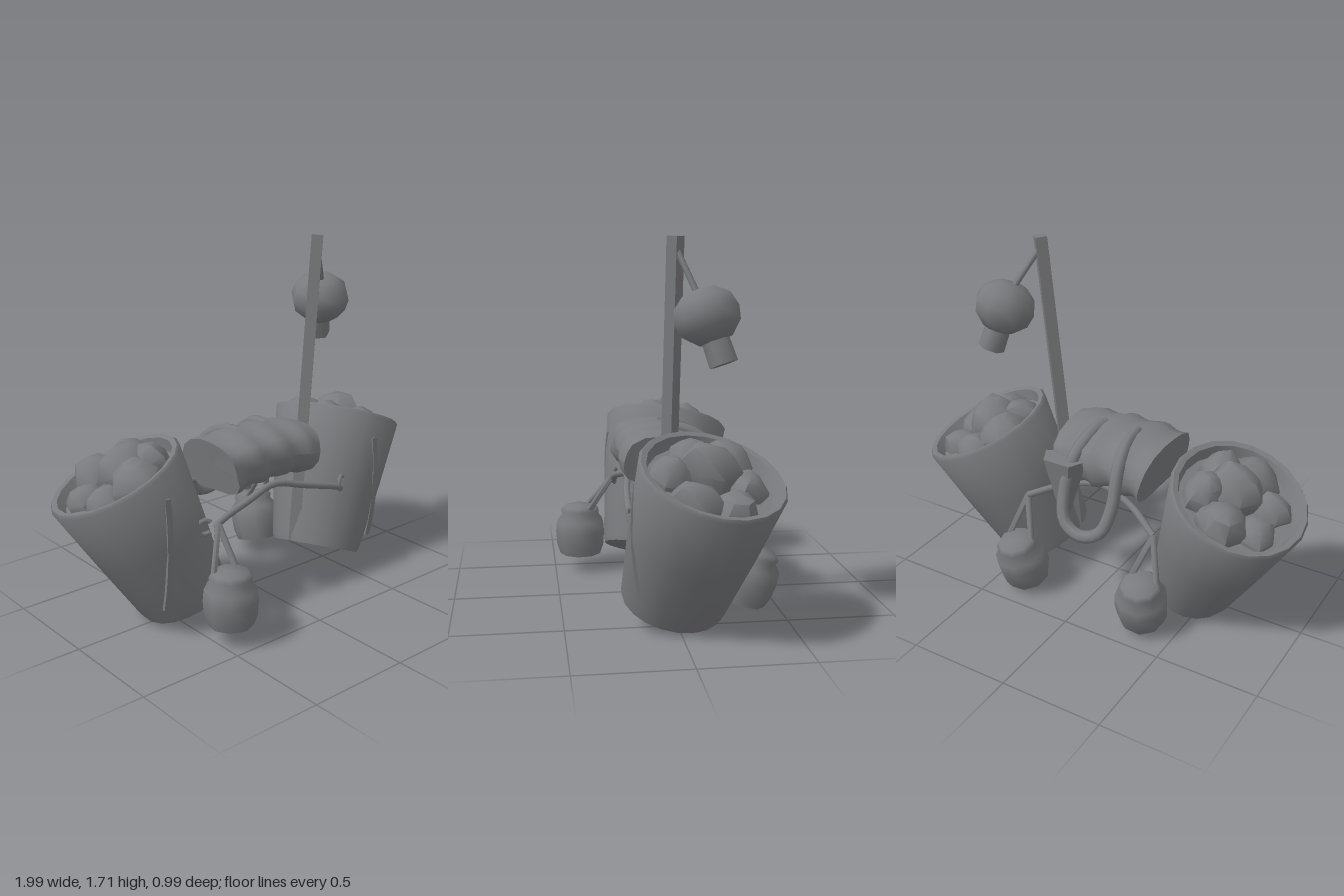
import * as THREE from 'three';
import { toCreasedNormals } from 'three/addons/utils/BufferGeometryUtils.js';

const V = (x, y, z) => new THREE.Vector3(x, y, z);
const UP = V(0, 1, 0);

export function createModel() {
  const model = new THREE.Group();
  const grey = new THREE.MeshStandardMaterial({ color: 0x7a7b7e });
  grey.name = 'slate grey';

  const add = (name, geometry, parent = model) => {
    const mesh = new THREE.Mesh(geometry, grey);
    mesh.name = name;
    parent.add(mesh);
    return mesh;
  };
  const lathe = (points, sides, crease = 0.8) => toCreasedNormals(
    new THREE.LatheGeometry(points.map(([r, y]) => new THREE.Vector2(r, y)), sides), crease);
  // straight bar between two points
  const bar = (name, a, b, r, sides = 6) => {
    const geo = toCreasedNormals(new THREE.CylinderGeometry(r, r, a.distanceTo(b), sides), 1.2);
    const mesh = add(name, geo);
    mesh.position.copy(a).lerp(b, 0.5);
    mesh.quaternion.setFromUnitVectors(UP, b.clone().sub(a).normalize());
    return mesh;
  };
  const tube = (name, points, r, segments = 20) =>
    add(name, new THREE.TubeGeometry(new THREE.CatmullRomCurve3(points), segments, r, 7));

  // lumpy stone or fruit
  const lump = (r, seed) => {
    const geo = new THREE.SphereGeometry(r, 7, 5);
    const p = geo.attributes.position;
    for (let i = 0; i < p.count; i++) {
      const v = V().fromBufferAttribute(p, i);
      const k = 1 + 0.07 * Math.sin(v.x / r * 3 + seed) + 0.07 * Math.cos(v.z / r * 3 + v.y / r * 2 + seed * 2);
      p.setXYZ(i, v.x * k, v.y * k, v.z * k);
    }
    return toCreasedNormals(geo, 0.9);
  };

  // two leaning baskets, a little deeper than wide at the foot, with their loads
  const basketGeo = lathe([[0, 0], [0.205, 0], [0.215, 0.03], [0.272, 0.36], [0.325, 0.69], [0.315, 0.705],
    [0.29, 0.7], [0.272, 0.645], [0, 0.63]], 20);
  const foot = basketGeo.attributes.position;
  for (let i = 0; i < foot.count; i++)
    foot.setZ(i, foot.getZ(i) * (1 + 0.14 * Math.max(0, 1 - foot.getY(i) / 0.68)));
  for (const s of [1, -1]) {
    const side = s > 0 ? 'left' : 'right';
    const basket = new THREE.Group();
    basket.name = side + 'Basket';
    basket.position.set(s * 0.43, 0.095, 0.012);
    basket.quaternion.setFromUnitVectors(UP, V(s * 0.27, 0.63, -0.132).normalize());
    model.add(basket);
    add(side + 'BasketBody', basketGeo, basket);
    add(side + 'LoadCentre', lump(0.135, s), basket).position.set(-s * 0.04, 0.68, 0.02);
    for (let i = 0; i < 6; i++) {
      const a = i / 6 * Math.PI * 2 + 0.5;
      const r = 0.11 + 0.015 * Math.sin(i * 2.3 + s);
      const y = (s > 0 ? 0.63 : 0.65) - 0.02 * Math.cos(a);
      add(side + 'LoadLump', lump(r, i + s), basket)
        .position.set(s * Math.cos(a) * 0.165, y, Math.sin(a) * 0.165);
    }

    // slightly bowed upright strip on the basket front
    const strip = new THREE.BoxGeometry(0.03, 0.54, 0.015, 1, 6, 1);
    const p = strip.attributes.position;
    for (let i = 0; i < p.count; i++) {
      const y = p.getY(i);
      p.setZ(i, p.getZ(i) + 0.05 * y - 0.35 * y * y);
    }
    strip.computeVertexNormals();
    add(side + 'FrontStrip', strip).position.set(s * 0.645, 0.42, 0.215);

    // small hook where the front carrying bar meets the basket
    const hook = add(side + 'Hook', new THREE.TorusGeometry(0.035, 0.012, 5, 6, Math.PI * 1.5));
    hook.position.set(s * 0.43, 0.495, 0.19);
    hook.rotation.set(0, s * 0.5, Math.PI / 4);
  }

  // bent carrying bars in front and behind
  tube('frontBar', [V(-0.39, 0.48, 0.2), V(-0.34, 0.51, 0.2), V(-0.18, 0.555, 0.19), V(0, 0.59, 0.17),
    V(0.18, 0.545, 0.19), V(0.42, 0.48, 0.2)], 0.017);
  tube('backBar', [V(-0.35, 0.49, -0.28), V(-0.18, 0.56, -0.2), V(0, 0.6, -0.17),
    V(0.18, 0.56, -0.2), V(0.35, 0.49, -0.28)], 0.017);

  // three hanging pots
  const potGeo = lathe([[0, 0], [0.105, 0], [0.122, 0.05], [0.127, 0.12], [0.122, 0.175], [0.095, 0.208],
    [0.1, 0.23], [0.085, 0.25], [0, 0.255]], 9, 1.1);
  const pot = (name, base, axis, hang) => {
    const mesh = add(name, potGeo);
    mesh.position.copy(base);
    mesh.quaternion.setFromUnitVectors(UP, axis.normalize());
    mesh.updateMatrix();
    for (const k of [-1, 1])
      bar(name + 'Strap', hang, V(k * 0.065, 0.235, -0.04 * Math.sign(base.z)).applyMatrix4(mesh.matrix), 0.015);
  };
  pot('frontPot', V(-0.43, 0.09, 0.37), V(0, 1, 0), V(-0.37, 0.5, 0.21));
  for (const s of [1, -1])
    pot(s > 0 ? 'backLeftPot' : 'backRightPot', V(s * 0.33, 0.055, -0.33),
      V(s * 0.08, 0.95, -0.28), V(s * 0.35, 0.49, -0.28));

  // padded bundle with wrinkles running around it
  const bundle = new THREE.CylinderGeometry(1, 1, 0.5, 18, 16).rotateZ(Math.PI / 2);
  const bp = bundle.attributes.position;
  for (let i = 0; i < bp.count; i++) {
    const x = bp.getX(i), y = bp.getY(i), z = bp.getZ(i);
    const a = Math.atan2(y, z);
    const square = 1 / Math.pow(Math.pow(Math.abs(Math.cos(a)), 3) + Math.pow(Math.abs(Math.sin(a)), 3), 1 / 3);
    const k = square * (1 + 0.05 * Math.sin(x * 42 + Math.sin(a * 2)) + 0.02 * Math.sin(a * 5 + x * 9));
    const zz = z * k * 0.215;
    bp.setXYZ(i, x * (1 + 0.1 * y + 0.06 * z), 0.725 + y * k * 0.122 - 0.4 * x * x + (zz < 0 ? 0.2 * zz : 0), zz);
  }
  bundle.computeVertexNormals();
  add('bundle', bundle);

  // pointed cloth corner hanging behind the bundle
  const corner = new THREE.CylinderGeometry(0.12, 0.025, 0.32, 5);
  corner.scale(1, 1, 0.65);
  add('clothCorner', toCreasedNormals(corner, 0.6)).position.set(0.17, 0.565, -0.23);

  // looped handle that crosses the bundle and hangs behind it
  const arm = (s) => [V(s * 0.09, 0.83, 0.02), V(s * 0.1, 0.815, -0.1), V(s * 0.12, 0.74, -0.21),
    V(s * 0.132, 0.57, -0.29), V(s * 0.095, 0.45, -0.34)];
  tube('loopHandle', [...arm(-1), V(0, 0.412, -0.355), ...arm(1).reverse()], 0.031, 40);

  // leaning square pole with a lantern on a short arm
  bar('pole', V(0.275, 0.18, 0.02), V(0.42, 1.71, 0), 0.039, 4);
  bar('lanternArm', V(0.425, 1.65, -0.005), V(0.53, 1.46, -0.08), 0.015);
  const lantern = new THREE.Group();
  lantern.name = 'lantern';
  lantern.position.set(0.555, 1.375, -0.115);
  lantern.quaternion.setFromUnitVectors(UP, V(-0.045, 0.19, 0.06).normalize());
  model.add(lantern);
  add('lanternBody', lathe([[0, -0.115], [0.075, -0.11], [0.132, -0.055], [0.146, 0.005], [0.13, 0.065],
    [0.075, 0.11], [0, 0.118]], 10, 1), lantern);
  add('lanternTail', toCreasedNormals(new THREE.CylinderGeometry(0.06, 0.064, 0.14, 6), 1.2), lantern)
    .position.y = -0.145;

  return model;
}
